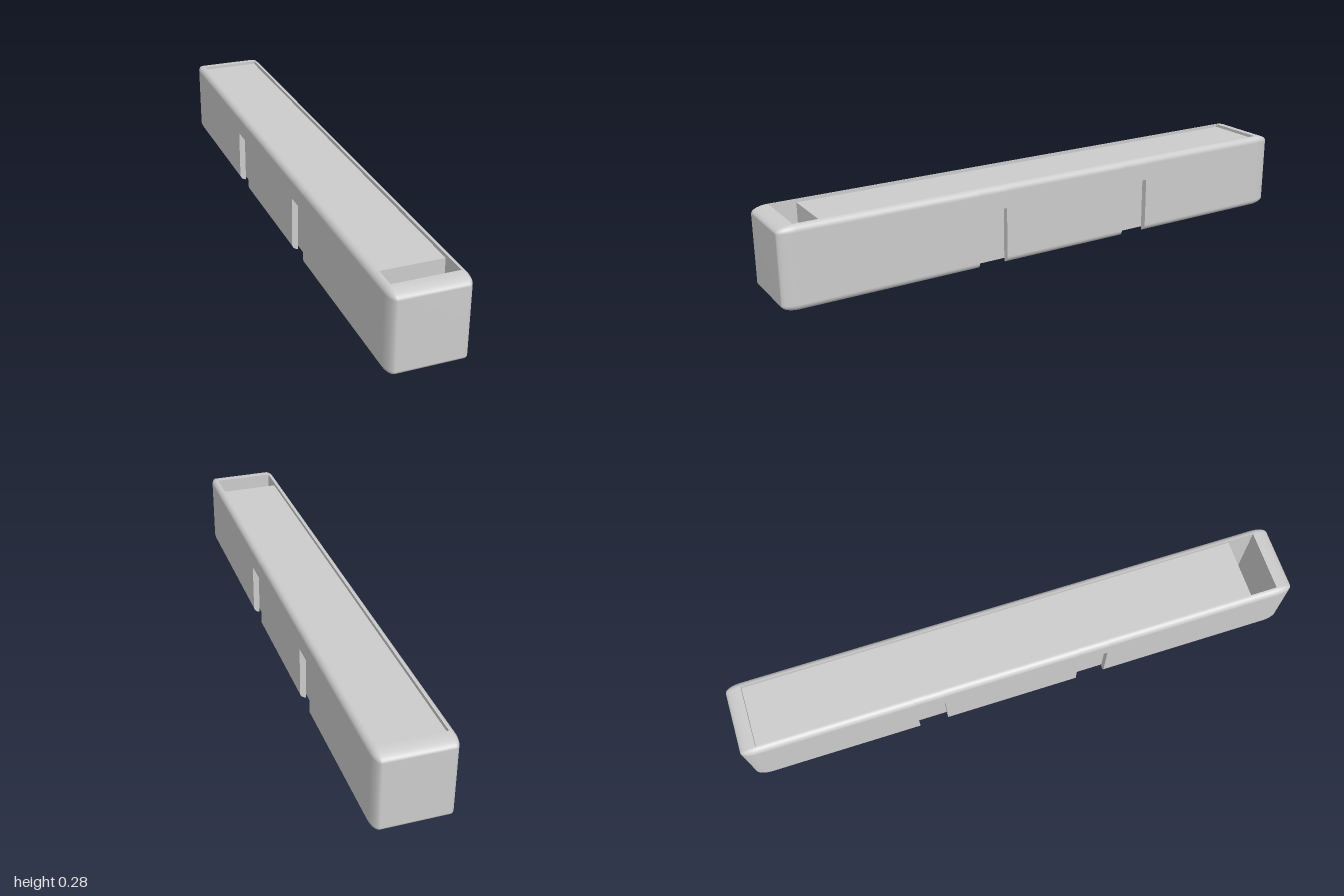
import * as THREE from 'three';

const H = 0.281, HX = 0.132, HZ = 1;      // height and half sizes
const R = 0.023, TX = 0.022, TZ = 0.057;  // rounding height, side and end wall thickness
const NOTCH_TOP = 0.2;
const NOTCHES = [[-0.395, -0.29], [0.2, 0.308]];
const material = new THREE.MeshStandardMaterial({ color: 0xcccccc, side: THREE.DoubleSide });

// Rounded outer edge of a wall, bottom to top, as [outward, y]
function outerProfile(t, steps = 10) {
  const low = [], high = [];
  for (let i = 0; i <= steps; i++) {
    const a = (i / steps) * Math.PI / 2;
    low.push([t * Math.sin(a), R - R * Math.cos(a)]);
    high.push([t * Math.cos(a), H - R + R * Math.sin(a)]);
  }
  return { low, high };
}

// Sheet that carries a profile from z0 to z1
function sheet(profile, z0, z1) {
  const pos = [], index = [];
  profile.forEach(([x, y], i) => {
    pos.push(x, y, z0, x, y, z1);
    if (i) {
      const a = 2 * i - 2;
      index.push(a, a + 2, a + 3, a, a + 3, a + 1);
    }
  });
  const g = new THREE.BufferGeometry();
  g.setAttribute('position', new THREE.Float32BufferAttribute(pos, 3));
  g.setIndex(index);
  g.computeVertexNormals();
  return g;
}

function add(parent, geometry, name) {
  const mesh = new THREE.Mesh(geometry, material);
  mesh.name = name;
  parent.add(mesh);
  return mesh;
}

// Wall facing local +x, with its inner face at x = 0, cut by notches from below
function wall(name, t, half, notches) {
  const group = new THREE.Group();
  group.name = name;
  const { low, high } = outerProfile(t);
  const full = (z0, z1) => {
    add(group, sheet([...low, ...high], z0, z1), 'outerFace');
    add(group, sheet([[0, H], [0, 0]], z0, z1), 'innerFace');
  };
  let z = -half;
  for (const [a, b] of notches) {
    full(z, a);
    add(group, sheet([[t, NOTCH_TOP], ...high], a, b), 'notchHeader');
    add(group, sheet([[0, H], [0, NOTCH_TOP]], a, b), 'notchHeaderInner');
    add(group, sheet([[0, NOTCH_TOP], [t, NOTCH_TOP]], a, b), 'notchCeiling');
    const cheek = new THREE.ShapeGeometry(new THREE.Shape(
      [...low, [t, NOTCH_TOP], [0, NOTCH_TOP]].map(p => new THREE.Vector2(...p))));
    add(group, cheek, 'notchCheek').position.z = a;
    add(group, cheek, 'notchCheek').position.z = b;
    z = b;
  }
  full(z, half);
  return group;
}

export function createModel() {
  const model = new THREE.Group();
  model.name = 'sleevedBar';
  const ix = HX - TX, iz = HZ - TZ;

  // Long side walls; the right one is turned around, so its notches run in reverse
  const left = wall('leftWall', TX, iz, NOTCHES);
  left.position.x = ix;
  const right = wall('rightWall', TX, iz, NOTCHES.map(([a, b]) => [-b, -a]).reverse());
  right.position.x = -ix;
  right.rotation.y = Math.PI;

  // Thicker end walls
  const front = wall('frontWall', TZ, ix, []);
  front.position.z = iz;
  front.rotation.y = -Math.PI / 2;
  const back = wall('backWall', TZ, ix, []);
  back.position.z = -iz;
  back.rotation.y = Math.PI / 2;
  model.add(left, right, front, back);

  // Rounded corner posts, stretched to the two wall thicknesses
  const { low, high } = outerProfile(1);
  const points = [...low, ...high].map(([x, y]) => new THREE.Vector2(x, y));
  for (let i = 0; i < 4; i++) {
    const sx = i === 0 || i === 1 ? 1 : -1, sz = i === 0 || i === 3 ? 1 : -1;
    const g = new THREE.LatheGeometry(points, 10, i * Math.PI / 2, Math.PI / 2);
    g.scale(TX, 1, TZ);
    add(model, g, 'cornerPost').position.set(sx * ix, 0, sz * iz);
  }

  // Inner block, leaving an open shaft at the front
  const z0 = -iz, z1 = 0.85;
  const block = add(model, new THREE.BoxGeometry(2 * ix - 0.002, H - 0.022, z1 - z0), 'innerBlock');
  block.position.set(0, H / 2, (z0 + z1) / 2);

  return model;
}
